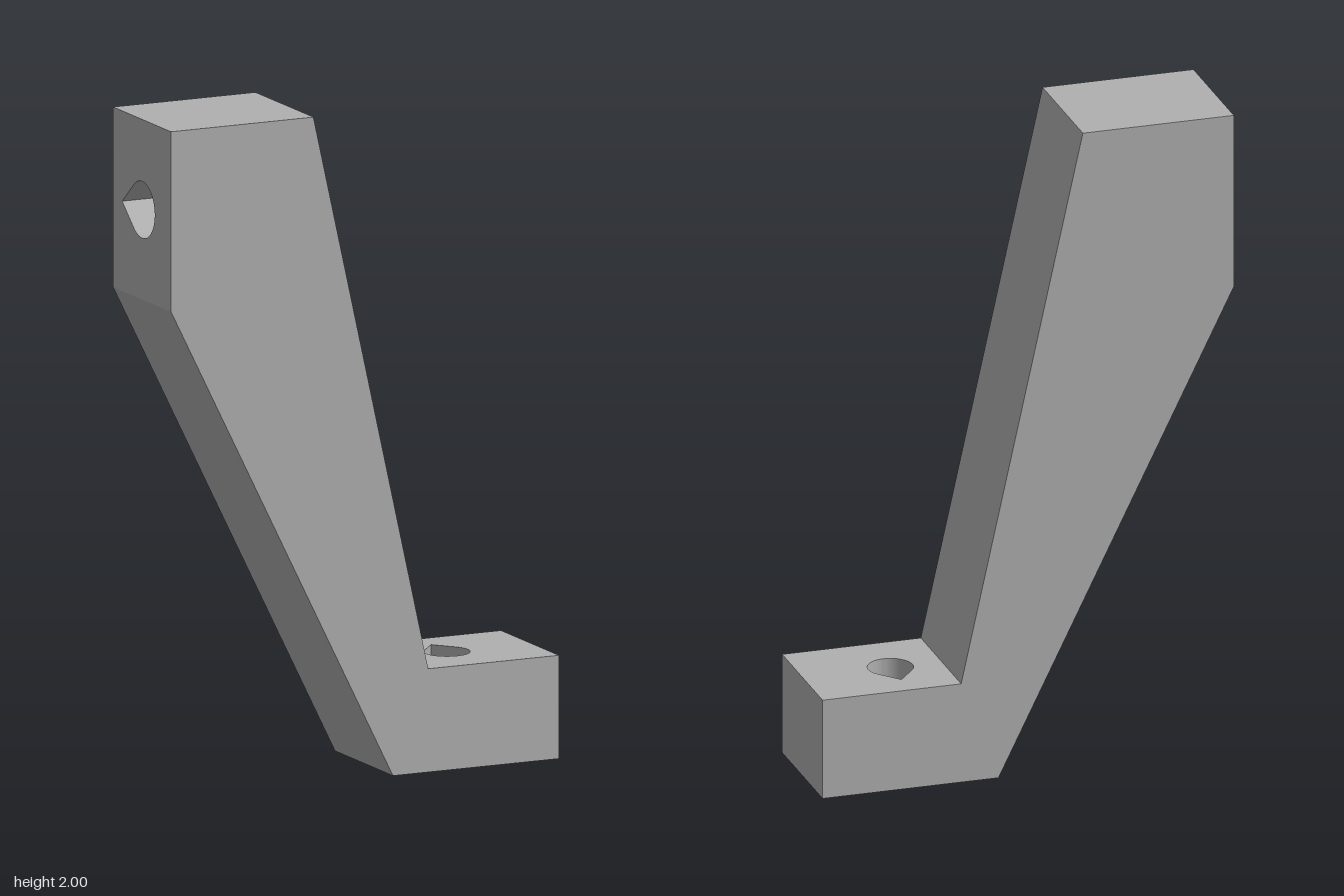
import * as THREE from 'three';
import { toCreasedNormals } from 'three/addons/utils/BufferGeometryUtils.js';

const HALF = 0.193; // half of the bracket's thickness in z

// Side profile, counter-clockwise in x, y
const PROFILE = [
  [0.09, 0], [0.632, 0], [0.632, 0.31], [0.205, 0.31],
  [-0.17, 2], [-0.635, 2], [-0.635, 1.46],
];

// Teardrop outline: a round bore with a pointed end towards -v
function teardrop(u, r) {
  const pts = [new THREE.Vector2(u, -r / Math.sin(THREE.MathUtils.degToRad(40)))];
  const n = 40;
  for (let i = 0; i <= n; i++) {
    const a = THREE.MathUtils.degToRad(-40 + (260 * i) / n);
    pts.push(new THREE.Vector2(u + r * Math.cos(a), r * Math.sin(a)));
  }
  return pts;
}

// Inward-facing wall of a bore, from the surface down to -depth
function boreWall(outline, depth) {
  const pos = [];
  outline.forEach((p, i) => {
    const q = outline[(i + 1) % outline.length];
    pos.push(p.x, p.y, -depth, q.x, q.y, 0, q.x, q.y, -depth);
    pos.push(p.x, p.y, -depth, p.x, p.y, 0, q.x, q.y, 0);
  });
  const g = new THREE.BufferGeometry();
  g.setAttribute('position', new THREE.Float32BufferAttribute(pos, 3));
  return toCreasedNormals(g, Math.PI / 6);
}

export function createModel() {
  const model = new THREE.Group();
  model.name = 'bracket';
  const grey = new THREE.MeshStandardMaterial({ color: 0xb0b0b0 });
  grey.name = 'grey';

  const add = (name, geometry, matrix) => {
    if (matrix) geometry.applyMatrix4(matrix);
    const mesh = new THREE.Mesh(geometry, grey);
    mesh.name = name;
    model.add(mesh);
  };

  // Front and back faces
  const side = new THREE.Shape(PROFILE.map(([x, y]) => new THREE.Vector2(x, y)));
  add('frontFace', new THREE.ShapeGeometry(side).translate(0, 0, HALF));
  const mirrored = new THREE.Shape(PROFILE.map(([x, y]) => new THREE.Vector2(-x, y)));
  add('backFace', new THREE.ShapeGeometry(mirrored).rotateY(Math.PI).translate(0, 0, -HALF));

  // Faces around the profile, some pierced by a bore
  const names = ['footBottom', 'footEnd', 'footTop', 'armInner', 'headTop', 'headOuter', 'armOuter'];
  const bores = {
    footBottom: { r: 0.068 },
    footTop: { r: 0.068, depth: 0.31 },
    headOuter: { r: 0.085, depth: 0.3, blind: true },
  };
  names.forEach((name, i) => {
    const a = new THREE.Vector3(...PROFILE[i], 0);
    const b = new THREE.Vector3(...PROFILE[(i + 1) % PROFILE.length], 0);
    const length = a.distanceTo(b);
    const along = b.clone().sub(a).normalize();
    const normal = new THREE.Vector3(along.y, -along.x, 0);
    const matrix = new THREE.Matrix4()
      .makeBasis(along, new THREE.Vector3(0, 0, 1), normal)
      .setPosition(a);

    const face = new THREE.Shape([
      new THREE.Vector2(0, -HALF), new THREE.Vector2(length, -HALF),
      new THREE.Vector2(length, HALF), new THREE.Vector2(0, HALF),
    ]);
    const bore = bores[name];
    if (bore) {
      const outline = teardrop(0.271, bore.r);
      face.holes.push(new THREE.Path(outline));
      if (bore.depth) add(name + 'Bore', boreWall(outline, bore.depth), matrix);
      if (bore.blind) {
        const floor = new THREE.ShapeGeometry(new THREE.Shape(outline));
        add(name + 'BoreFloor', floor.translate(0, 0, -bore.depth), matrix);
      }
    }
    add(name, new THREE.ShapeGeometry(face), matrix);
  });

  return model;
}
